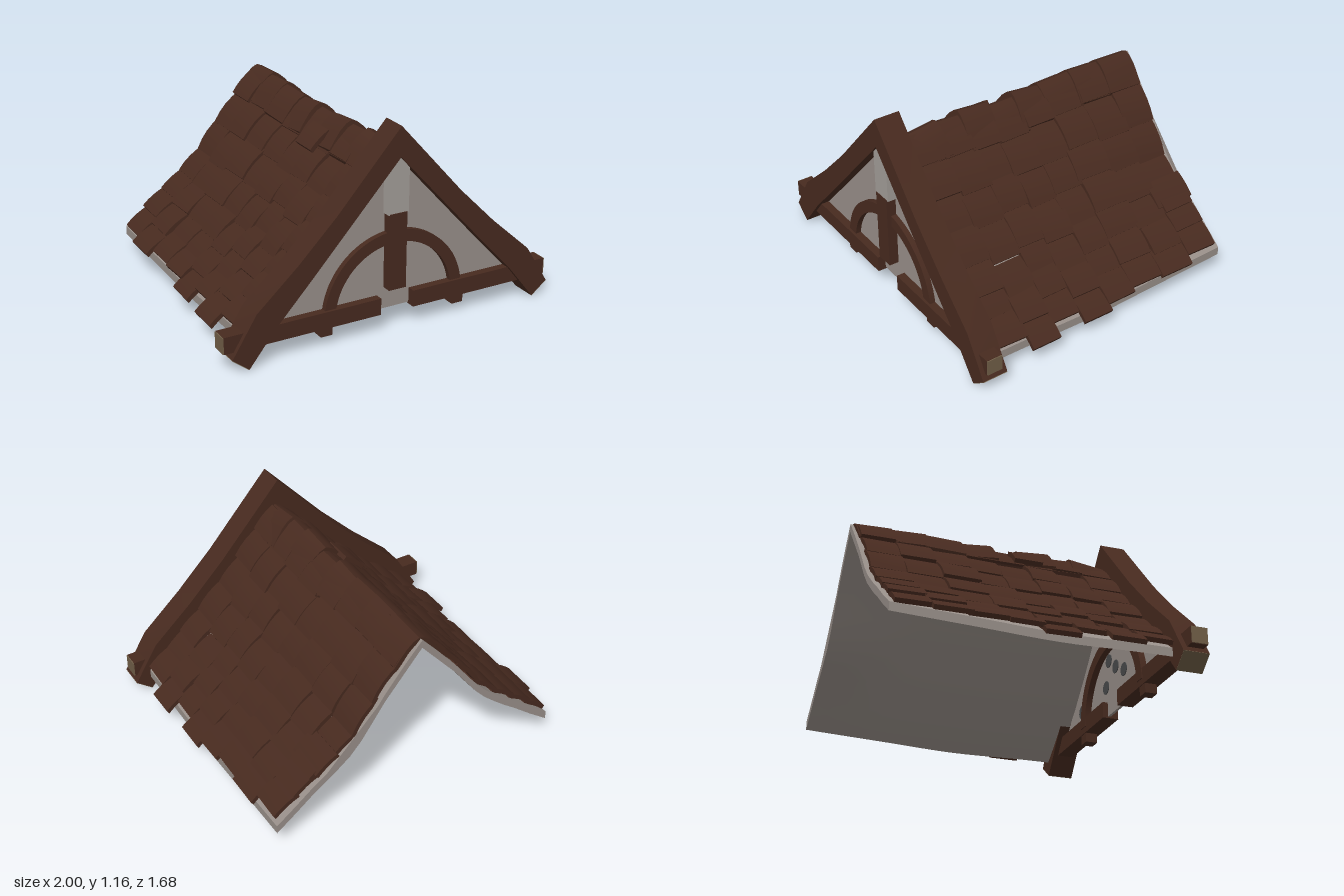
import * as THREE from 'three';
import { toCreasedNormals } from 'three/addons/utils/BufferGeometryUtils.js';

const CX = 0.02; // centre of the gable frame
const RX = 0.035; // ridge of the shingled roof

// Half profiles [distance from ridge, height], mirrored for the other slope
const SHEET = [[0, 1.0], [0.1, 0.89], [0.22, 0.76], [0.3, 0.67], [0.36, 0.6], [0.43, 0.525], [0.5, 0.455], [0.57, 0.385], [0.64, 0.325], [0.76, 0.225], [0.875, 0.14]];
const BARGE_OUT = [[0, 1.165], [0.38, 0.74], [0.6, 0.52], [0.84, 0.305], [0.98, 0.08]];
const BARGE_IN = [[0, 0.995], [0.36, 0.6], [0.52, 0.425], [0.73, 0.2], [0.885, 0.005]];

// Full left-to-right line from a half profile
const mirrored = (half, cx) => [
  ...half.slice(1).reverse().map(([u, y]) => [cx - u, y]),
  ...half.map(([u, y]) => [cx + u, y]),
];
const shapeOf = (pts) => new THREE.Shape(pts.map(([x, y]) => new THREE.Vector2(x, y)));
const band = (top, bottom, cx) => shapeOf([...mirrored(top, cx), ...mirrored(bottom, cx).reverse()]);

// Warp of the old roof: sag along z, and slopes hollowed towards the back
function warp(x, z) {
  const u = Math.abs(x - RX);
  const sag = (0.038 - 0.018 * u) * Math.pow(Math.max(0, (-z - 0.1) / 0.74), 1.4) - 0.012 * Math.exp(-Math.pow((z - 0.1) / 0.3, 2));
  const hollow = (x > RX ? 0.065 : 0.04) * THREE.MathUtils.smoothstep(-z, 0.3, 0.8);
  return sag - hollow * Math.exp(-Math.pow((u - 0.4) / 0.17, 2));
}

// Height of the sheet's upper face on side s at distance u from the ridge
function heightAt(s, u, z) {
  let i = 0;
  while (i < SHEET.length - 2 && u > SHEET[i + 1][0]) i++;
  const [a, b] = [SHEET[i], SHEET[i + 1]];
  return a[1] + ((b[1] - a[1]) * (u - a[0])) / (b[0] - a[0]) + warp(RX + s * u, z);
}

let seed = 11;
const rand = (r) => {
  seed = (seed * 16807) % 2147483647;
  return (seed / 2147483647 - 0.5) * 2 * r;
};

export function createModel() {
  const model = new THREE.Group();
  const paint = (name, color) => {
    const m = new THREE.MeshStandardMaterial({ color });
    m.name = name;
    return m;
  };
  const wood = paint('dark brown wood', 0x472a1f);
  const plaster = paint('grey plaster', 0x988f89);
  const paleStone = paint('pale grey', 0xa39e99);
  const endGrain = paint('end grain', 0x705e47);
  const dark = paint('dark spots', 0x4a4b4c);

  const add = (name, geo, mat, parent = model) => {
    const mesh = new THREE.Mesh(geo, mat);
    mesh.name = name;
    parent.add(mesh);
    return mesh;
  };
  const box = (name, mat, x0, x1, y0, y1, z0, z1) => {
    const m = add(name, new THREE.BoxGeometry(x1 - x0, y1 - y0, z1 - z0), mat);
    m.position.set((x0 + x1) / 2, (y0 + y1) / 2, (z0 + z1) / 2);
  };
  const slab = (name, shape, mat, z0, z1) => {
    const g = new THREE.ExtrudeGeometry(shape, { depth: z1 - z0, bevelEnabled: false, curveSegments: 20 });
    add(name, toCreasedNormals(g, 0.3), mat).position.z = z0;
  };

  // Sagging roof sheet, open at the back
  const sheetGeo = new THREE.ExtrudeGeometry(band(SHEET, SHEET.map(([u, y]) => [u, y - 0.05]), RX), { depth: 1.59, steps: 16, bevelEnabled: false });
  sheetGeo.translate(0, 0, -0.84);
  const sp = sheetGeo.attributes.position;
  for (let i = 0; i < sp.count; i++) sp.setY(i, sp.getY(i) + warp(sp.getX(i), sp.getZ(i)));
  add('roofSheet', toCreasedNormals(sheetGeo, 0.6), plaster);

  // Gable wall set inside the bent barge frame
  const wallTop = BARGE_IN.slice(0, 4).map(([u, y]) => [u && u + 0.02, y + 0.03]);
  slab('gableWall', shapeOf([...mirrored(wallTop, CX), [CX + 0.8, 0.12], [CX - 0.8, 0.12]]), plaster, 0.752, 0.768);
  slab('bargeFrame', band(BARGE_OUT, BARGE_IN, CX), wood, 0.69, 0.84);

  for (const s of [-1, 1]) {
    // Cut end of each barge board
    const [ou, oy] = BARGE_OUT[4];
    const [iu, iy] = BARGE_IN[4];
    const cap = add('bargeEnd', new THREE.BoxGeometry(Math.hypot(ou - iu, oy - iy), 0.006, 0.148), endGrain);
    cap.position.set(CX + (s * (ou + iu)) / 2, (oy + iy) / 2, 0.765);
    cap.rotation.z = s * Math.atan2(oy - iy, ou - iu);

    // Split tie beam with its cut end, passing through the wall plane
    box('tieBeam', wood, ...(s > 0 ? [0.13, 0.994] : [-0.994, -0.07]), 0.11, 0.205, 0.72, 0.815);
    box('tieBeamEnd', endGrain, ...(s > 0 ? [0.994, 1] : [-1, -0.994]), 0.112, 0.203, 0.722, 0.813);

    // Foot of the arch below the beam
    box('archFoot', wood, CX + s * 0.41 - 0.035, CX + s * 0.41 + 0.035, 0.055, 0.15, 0.725, 0.795);
  }

  // Half-round arch, showing on both faces of the wall
  const arch = new THREE.Shape();
  arch.absarc(CX, 0.145, 0.427, 0, Math.PI, false);
  arch.absarc(CX, 0.145, 0.36, Math.PI, 0, true);
  slab('arch', arch, wood, 0.715, 0.8);

  // King post with its pale upper block
  box('kingPost', wood, -0.03, 0.075, 0.245, 0.68, 0.765, 0.825);
  box('kingPostBlock', paleStone, -0.038, 0.085, 0.675, 1.02, 0.765, 0.822);

  // Dark spots on the inner face of the wall
  const spot = (radius) => new THREE.CylinderGeometry(radius, radius, 0.005, 12);
  for (const [x, y] of [[0.62, 0.18], [0.5, 0.28], [0.36, 0.4], [0.41, 0.24], [0.09, 0.45], [0, 0.38], [-0.11, 0.32], [0.14, 0.3]]) {
    const d = add('wallSpot', spot(0.04), dark);
    d.position.set(x, y, 0.75);
    d.rotation.x = Math.PI / 2;
  }
  // Dark spots in three rows under the right slope
  [[0.5, 0.62, 7], [0.57, 0.62, 5], [0.64, 0.64, 4]].forEach(([u, z0, n]) => {
    for (let i = 0; i < n; i++) {
      const z = z0 - i * 0.125;
      const d = add('roofSpot', spot(0.039 + rand(0.009)), dark);
      const slope = Math.atan2(heightAt(-1, u - 0.03, z) - heightAt(-1, u + 0.03, z), 0.06);
      d.position.set(RX - u, heightAt(-1, u, z) - 0.054, z);
      d.rotation.z = slope;
    }
  });

  // Slightly arched shingle, its length along x
  const shingle = (length, width) => {
    const g = new THREE.BoxGeometry(length, 0.026, width, 4, 1, 1);
    const p = g.attributes.position;
    for (let i = 0; i < p.count; i++) p.setY(i, p.getY(i) - 1.3 * p.getX(i) ** 2);
    g.computeVertexNormals();
    return g;
  };

  // Shingle rows on both slopes
  const tiles = new THREE.Group();
  tiles.name = 'shingles';
  model.add(tiles);
  const columns = [0.69, 0.5, 0.32, 0.15, -0.03, -0.21, -0.42, -0.62, -0.81];
  const slide = [0, 0.07, 0.0, 0.055, 0.02, 0.005, 0.035, 0];
  const rows = [0.02, 0.12, 0.25, 0.37, 0.5, 0.62, 0.735, 0.85];
  for (const s of [-1, 1]) {
    for (let c = 0; c < 8; c++) {
      const width = columns[c] - columns[c + 1];
      const z = (columns[c] + columns[c + 1]) / 2;
      for (let r = 0; r < 7; r++) {
        const shift = slide[c] * (r / 6) + rand(0.01);
        const u0 = rows[r] + shift;
        const u1 = rows[r + 1] + shift;
        const y0 = heightAt(s, u0, z);
        const y1 = heightAt(s, u1, z);
        const slope = Math.atan2(y0 - y1, u1 - u0);
        const lift = 0.025 + rand(0.008);
        const tile = add('shingle', shingle(Math.hypot(u1 - u0, y1 - y0) * 1.18, width + 0.006 + rand(0.01)), wood, tiles);
        tile.position.set(
          RX + s * ((u0 + u1) / 2 + Math.sin(slope) * lift),
          (y0 + y1) / 2 + Math.cos(slope) * lift,
          z + (c > 0 && c < 7 ? rand(0.008) : 0),
        );
        tile.rotation.set(0, rand(0.035), -s * (slope - 0.08 + rand(0.04)));
      }
    }
  }

  // Two loose shingles, beside the ridge and over the back of the left slope
  [[-0.12, 0.92, 0.155, 0.15, 0.17, 0.7], [0.6, 0.435, -0.71, 0.16, 0.24, -0.62]].forEach(([x, y, z, length, width, tilt]) => {
    const loose = add('looseShingle', shingle(length, width), wood, tiles);
    loose.position.set(x, y, z);
    loose.rotation.z = tilt;
  });

  // Overlapping rounded ridge caps
  const capTop = [[0, 0.015], [0.035, 0], [0.075, -0.035], [0.11, -0.08], [0.145, -0.13]];
  const capShape = band(capTop, capTop.map(([u, y]) => [u * 0.88, y - 0.032]), 0);
  const tilts = [0.14, -0.04, -0.08, 0.02, -0.1, 0.03, -0.04, -0.03];
  const rises = [0.012, 0.01, 0.03, 0.008, 0.02, 0.014, 0.01, 0.004];
  tilts.forEach((tilt, c) => {
    const length = columns[c] - columns[c + 1] + 0.025;
    const g = new THREE.ExtrudeGeometry(capShape, { depth: length, bevelEnabled: false });
    g.translate(0, 0, -length / 2);
    const z = (columns[c] + columns[c + 1]) / 2 - (c === 0 ? 0.012 : 0);
    const cap = add('ridgeCap', toCreasedNormals(g, 0.7), wood);
    cap.position.set(RX + rand(0.012), 1.0 + warp(RX, z) + rises[c], z);
    cap.rotation.x = tilt;
  });

  return model;
}
